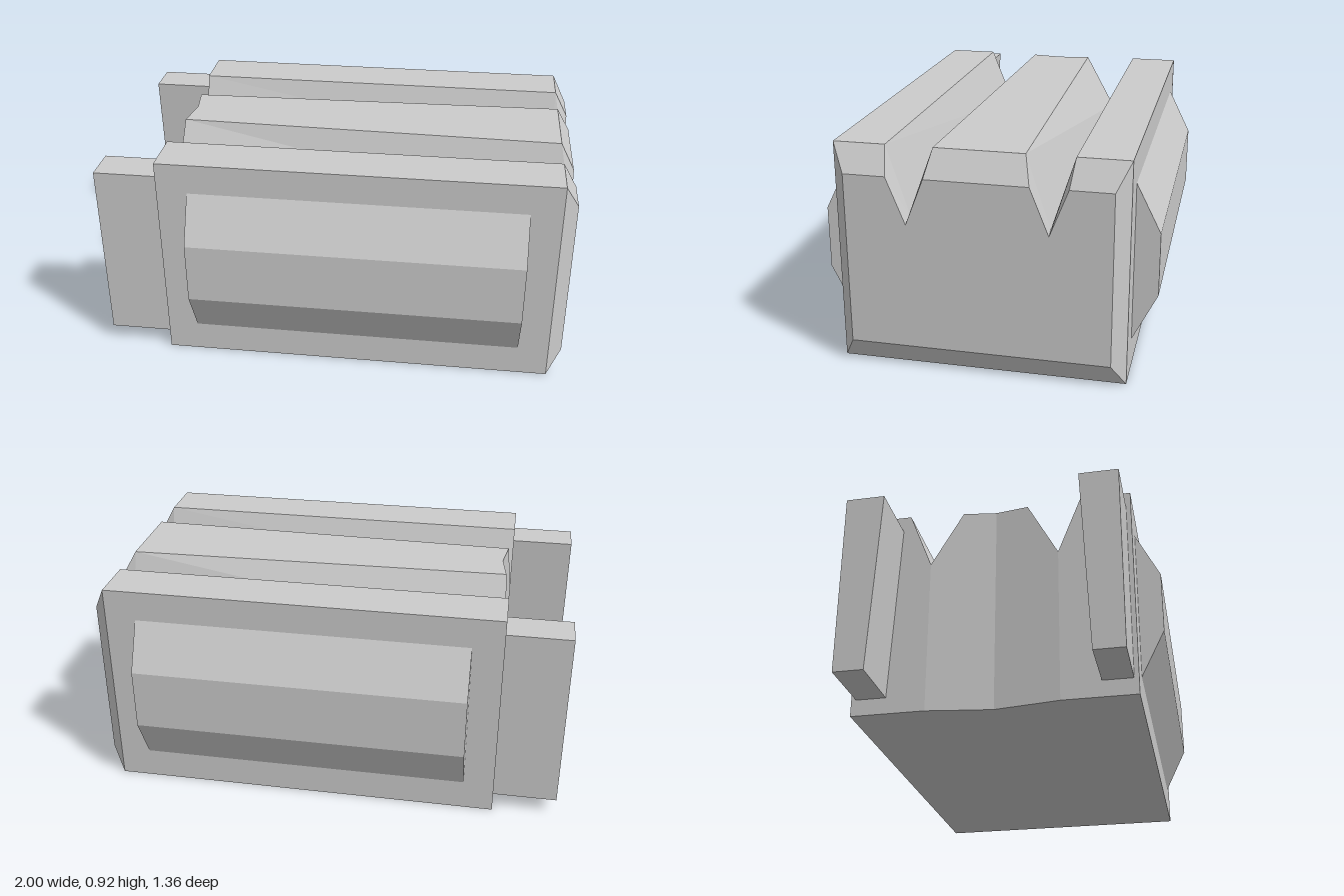
import * as THREE from 'three';

const material = new THREE.MeshStandardMaterial({ color: 0xcccccc, flatShading: true });

// Half cross-section as [x, z, bottom, top] columns from the centre outwards.
const column = (x, z, bottom, top) => ({ x, z, bottom, top });
const mirrorColumns = (half) => [
  ...half.slice(1).reverse().map((c) => ({ ...c, z: -c.z })),
  ...half,
];

// Grooved block: three sections joined in strips, with a dished rear end.
function bodyGeometry() {
  const sections = [
    [column(-0.69, 0, 0, 0.92), column(-0.71, 0.14, 0, 0.92), column(-0.73, 0.272, 0, 0.67),
      column(-0.73, 0.37, 0, 0.92), column(-0.73, 0.58, 0, 0.92)],
    [column(0.94, 0, 0, 0.92), column(0.94, 0.18, 0, 0.92), column(0.94, 0.275, 0, 0.625),
      column(0.94, 0.37, 0, 0.92), column(0.94, 0.58, 0, 0.92)],
    [column(1, 0, 0.1, 0.81), column(1, 0.205, 0.1, 0.81), column(1, 0.28, 0.1, 0.62),
      column(1, 0.355, 0.1, 0.81), column(1, 0.525, 0.1, 0.81)],
  ].map(mirrorColumns);

  const positions = [];
  const quad = (a, b, c, d) => positions.push(...a, ...b, ...c, ...a, ...c, ...d);
  const low = (c) => [c.x, c.bottom, c.z];
  const high = (c) => [c.x, c.top, c.z];
  const last = sections[0].length - 1;

  for (let s = 0; s < sections.length - 1; s++) {
    const p = sections[s], q = sections[s + 1];
    for (let i = 0; i < last; i++) {
      quad(high(p[i]), high(p[i + 1]), high(q[i + 1]), high(q[i]));
      quad(low(p[i]), low(q[i]), low(q[i + 1]), low(p[i + 1]));
    }
    quad(low(p[last]), low(q[last]), high(q[last]), high(p[last]));
    quad(low(p[0]), high(p[0]), high(q[0]), low(q[0]));
  }
  // End caps
  const rear = sections[0], nose = sections[sections.length - 1];
  for (let i = 0; i < last; i++) {
    quad(low(rear[i]), low(rear[i + 1]), high(rear[i + 1]), high(rear[i]));
    quad(low(nose[i]), high(nose[i]), high(nose[i + 1]), low(nose[i + 1]));
  }
  const geometry = new THREE.BufferGeometry();
  geometry.setAttribute('position', new THREE.Float32BufferAttribute(positions, 3));
  geometry.computeVertexNormals();
  return geometry;
}

// Prism along x from a [z, y] outline, placed on either side.
function prism(outline, x0, x1, side) {
  const shape = new THREE.Shape(outline.map(([z, y]) => new THREE.Vector2(-z * side, y)));
  return new THREE.ExtrudeGeometry(shape, { depth: x1 - x0, bevelEnabled: false })
    .rotateY(Math.PI / 2)
    .translate(x0, 0, 0);
}

export function createModel() {
  const group = new THREE.Group();
  const add = (name, geometry) => {
    const mesh = new THREE.Mesh(geometry, material);
    mesh.name = name;
    group.add(mesh);
  };

  add('groovedBody', bodyGeometry());

  for (const [label, side] of [['front', 1], ['back', -1]]) {
    // Raised side panel with sloping upper and lower faces
    add(`${label}SidePanel`, prism(
      [[0.56, 0.13], [0.58, 0.13], [0.68, 0.33], [0.68, 0.59], [0.58, 0.79], [0.56, 0.79]],
      -0.6, 0.81, side));
    // Rear plate, slightly narrower at the bottom
    add(`${label}RearPlate`, prism(
      [[0.435, 0.07], [0.56, 0.07], [0.56, 0.85], [0.4, 0.85]],
      -1, -0.71, side));
  }
  return group;
}
